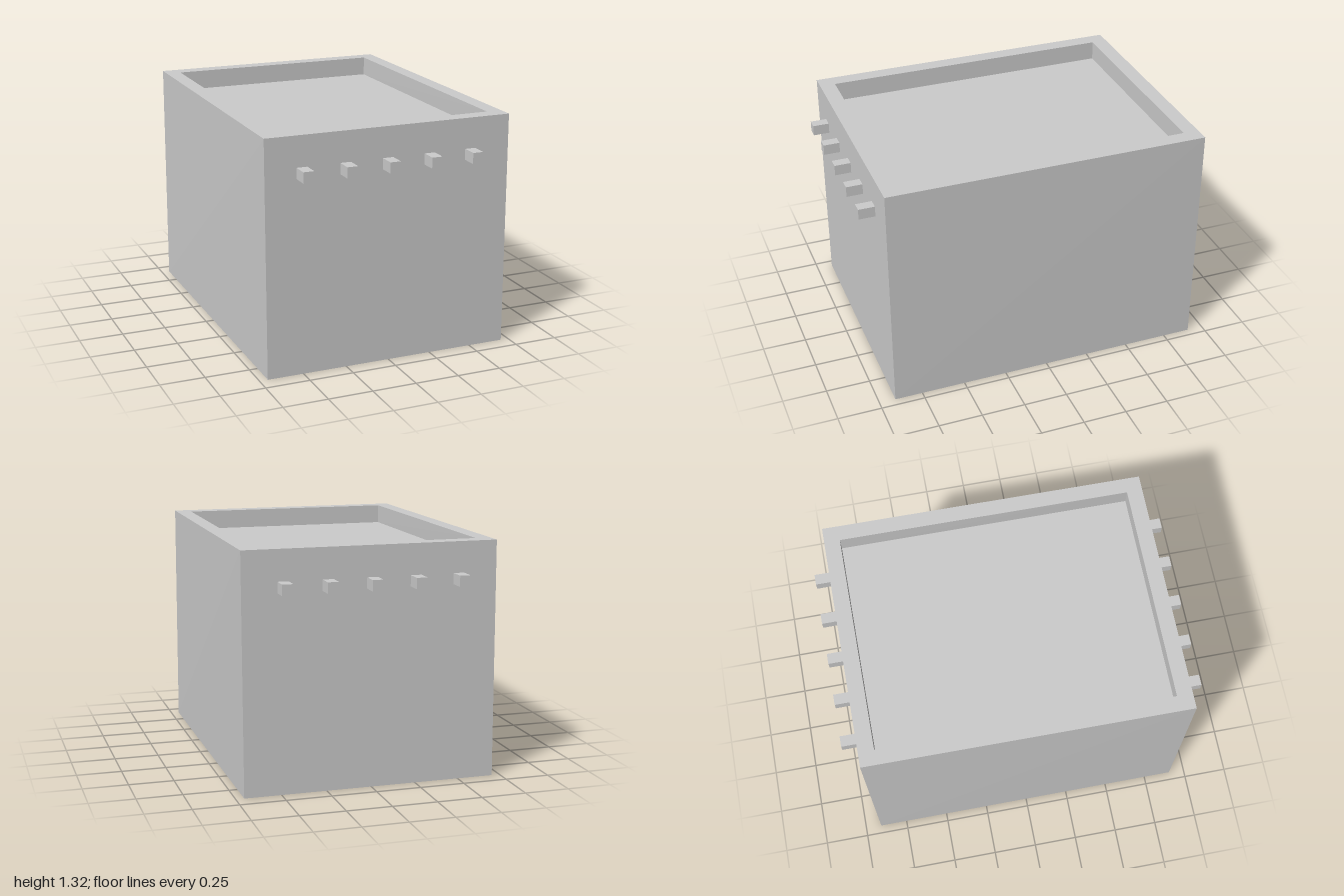
import * as THREE from 'three';

const HEIGHT = 1.315;
const material = new THREE.MeshStandardMaterial({ color: 0xcccccc, flatShading: true });

// Rectangular ring of four corners; the front leans slightly toward -x with height
function ring(halfX, halfZ, y) {
  const corners = [[-1, 1], [1, 1], [1, -1], [-1, -1]];
  return corners.map(([sx, sz]) => {
    const z = sz * halfZ;
    return [sx * halfX - 0.006 * z * (y / HEIGHT), y, z];
  });
}

// Closed skin through successive rings, capped at both ends
function loft(rings) {
  const index = [];
  for (let r = 0; r < rings.length - 1; r++) {
    for (let i = 0; i < 4; i++) {
      const j = (i + 1) % 4;
      const a = r * 4 + i, b = r * 4 + j, c = b + 4, d = a + 4;
      index.push(a, b, c, a, c, d);
    }
  }
  const e = (rings.length - 1) * 4;
  index.push(0, 2, 1, 0, 3, 2, e, e + 1, e + 2, e, e + 2, e + 3);
  const geometry = new THREE.BufferGeometry();
  geometry.setAttribute('position', new THREE.Float32BufferAttribute(rings.flat(2), 3));
  geometry.setIndex(index);
  const flat = geometry.toNonIndexed();
  flat.computeVertexNormals();
  return flat;
}

export function createModel() {
  const model = new THREE.Group();
  model.name = 'trayTopBox';

  // Body: outer walls, flat rim, recess walls and recess floor
  const body = new THREE.Mesh(loft([
    ring(0.704, 0.908, 0),
    ring(0.704, 0.908, HEIGHT),
    ring(0.618, 0.82, HEIGHT),
    ring(0.618, 0.82, HEIGHT - 0.11),
  ]), material);
  body.name = 'body';
  model.add(body);

  // Rows of five square pegs on the front and back
  const pegGeometry = new THREE.BoxGeometry(0.06, 0.06, 0.1);
  for (const [name, side, centerX] of [['frontPegs', 1, -0.018], ['backPegs', -1, 0.001]]) {
    const row = new THREE.Group();
    row.name = name;
    for (let i = -2; i <= 2; i++) {
      const peg = new THREE.Mesh(pegGeometry, material);
      peg.name = 'peg';
      peg.position.set(centerX + i * 0.2425, 1.115, side * 0.95);
      row.add(peg);
    }
    model.add(row);
  }
  return model;
}
